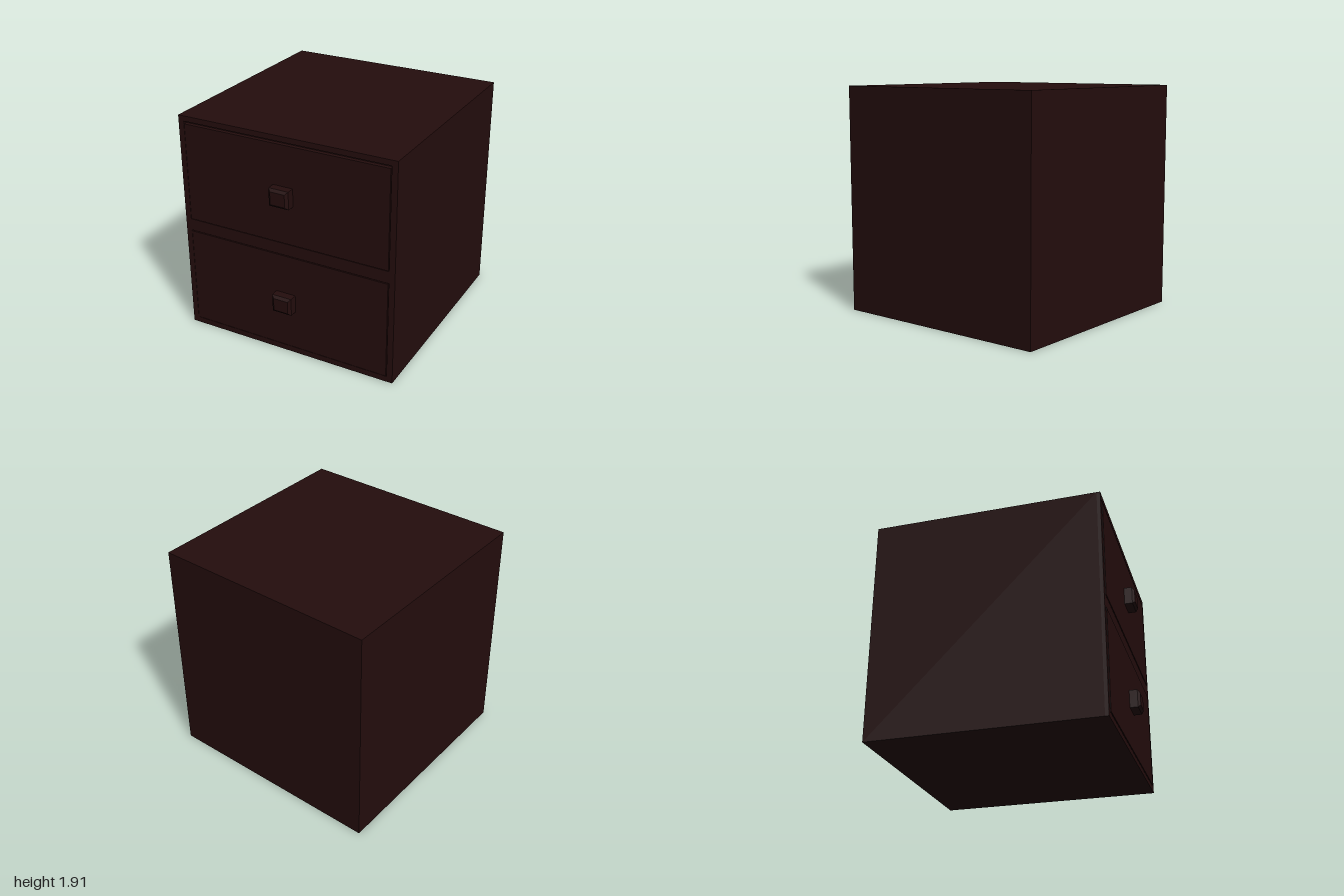
import * as THREE from 'three';

export function createModel() {
  const group = new THREE.Group();
  const darkWood = new THREE.MeshStandardMaterial({ color: 0x240d0d });
  darkWood.name = 'darkWood';

  const add = (name, geometry, x, y, z) => {
    const mesh = new THREE.Mesh(geometry, darkWood);
    mesh.name = name;
    mesh.position.set(x, y, z);
    group.add(mesh);
    return mesh;
  };

  // Rectangle outline given by its edges
  const rect = (Type, x0, x1, y0, y1) => new Type([
    new THREE.Vector2(x0, y0), new THREE.Vector2(x1, y0),
    new THREE.Vector2(x1, y1), new THREE.Vector2(x0, y1),
  ]);

  // Cabinet body behind the front frame
  add('cabinetBody', new THREE.BoxGeometry(1.91, 1.91, 1.88), 0, 0.955, -0.06);

  const drawers = [
    { name: 'lower', y0: 0.055, y1: 0.895, knobY: 0.477 },
    { name: 'upper', y0: 1.01, y1: 1.845, knobY: 1.425 },
  ];

  // Front frame with an opening for each drawer
  const frame = rect(THREE.Shape, -0.955, 0.955, 0, 1.91);
  for (const d of drawers) {
    const top = d.name === 'upper' ? 0.02 : 0.006;
    frame.holes.push(rect(THREE.Path, -0.905, 0.905, d.y0 - 0.006, d.y1 + top));
  }
  add('frontFrame', new THREE.ExtrudeGeometry(frame, { depth: 0.03, bevelEnabled: false }), 0, 0, 0.88);

  // Square knob with a chamfered face
  const knobShape = rect(THREE.Shape, -0.062, 0.062, -0.054, 0.054);
  const knobGeometry = new THREE.ExtrudeGeometry(knobShape, {
    depth: 0.09, bevelThickness: 0.02, bevelSize: 0.022, bevelSegments: 1,
  });
  knobGeometry.scale(1.04, 1, 1);

  // Drawer fronts stand slightly proud of the frame
  for (const d of drawers) {
    const front = new THREE.BoxGeometry(1.798, d.y1 - d.y0, 0.04);
    add(d.name + 'DrawerFront', front, 0, (d.y0 + d.y1) / 2, 0.894);
    add(d.name + 'Knob', knobGeometry, -0.004, d.knobY, 0.89);
  }

  return group;
}
